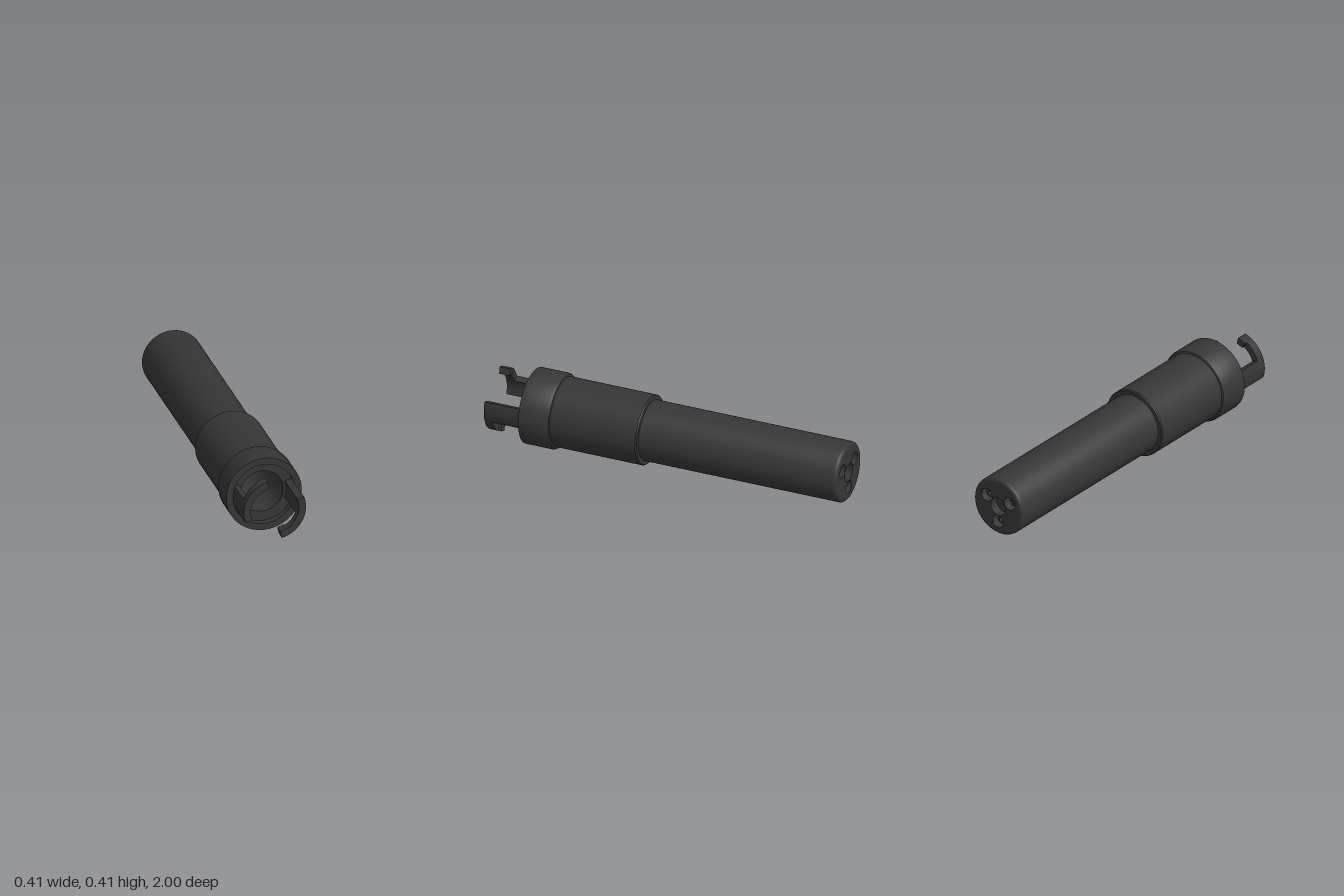
import * as THREE from 'three';
import { toCreasedNormals } from 'three/addons/utils/BufferGeometryUtils.js';

const rad = THREE.MathUtils.degToRad;

export function createModel() {
  const model = new THREE.Group();
  model.position.y = 0.204;
  const black = new THREE.MeshStandardMaterial({ color: 0x363636 });
  black.name = 'matte black';

  function add(name, geometry, parent = model) {
    const mesh = new THREE.Mesh(toCreasedNormals(geometry, rad(35)), black);
    mesh.name = name;
    parent.add(mesh);
    return mesh;
  }
  // Turned part along z: profile of [radius, z], back to front on the outside
  function turned(name, profile) {
    const points = profile.map(([r, z]) => new THREE.Vector2(r, z));
    return add(name, new THREE.LatheGeometry(points, 72).rotateX(Math.PI / 2));
  }
  // Flat shape pushed from z0 to z1
  function slab(name, shape, z0, z1, parent) {
    const g = new THREE.ExtrudeGeometry(shape, { depth: z1 - z0, bevelEnabled: false, curveSegments: 32 });
    return add(name, g.translate(0, 0, z0), parent);
  }
  function disc(r, x = 0, y = 0, Type = THREE.Shape) {
    const s = new Type();
    s.absarc(x, y, r, 0, Math.PI * 2, false);
    return s;
  }
  function arc(inner, outer, fromDeg, toDeg) {
    const s = new THREE.Shape();
    s.absarc(0, 0, outer, rad(fromDeg), rad(toDeg), false);
    s.absarc(0, 0, inner, rad(toDeg), rad(fromDeg), true);
    s.closePath();
    return s;
  }
  // Two narrow radial slots cut at a given angle
  function cutSlots(shape, angle) {
    for (const [r0, r1] of [[0.062, 0.097], [0.107, 0.114]]) {
      const corners = [[r0, -0.0055], [r1, -0.0055], [r1, 0.0055], [r0, 0.0055]];
      shape.holes.push(new THREE.Path(corners.map(([x, y]) =>
        new THREE.Vector2(x, y).rotateAround(new THREE.Vector2(), angle))));
    }
  }

  // Hollow body
  turned('barrel', [[0.14, -1], [0.147, -1], [0.155, -0.997], [0.161, -0.99], [0.163, -0.98],
    [0.163, 0.74], [0.115, 0.74], [0.115, -0.95]]);
  turned('sleeve', [[0.16, 0.125], [0.183, 0.125], [0.188, 0.132], [0.188, 0.63]]);
  turned('collar', [[0.185, 0.618], [0.197, 0.622], [0.204, 0.635], [0.204, 0.79],
    [0.168, 0.79], [0.168, 0.75], [0.115, 0.75], [0.115, 0.735]]);

  // Two bayonet hooks
  for (let i = 0; i < 2; i++) {
    const hook = new THREE.Group();
    hook.name = 'bayonetHook';
    hook.rotation.z = i * Math.PI;
    model.add(hook);
    slab('hookStem', arc(0.13, 0.168, -21, 19), 0.745, 1, hook);
    slab('hookArm', arc(0.13, 0.168, -60, -21), 0.955, 1, hook);
    slab('hookTip', arc(0.13, 0.168, -77, -60), 0.94, 1, hook);
  }

  // Back end with three sockets around a blind centre hole
  const endPlate = disc(0.141);
  const floor = disc(0.141);
  endPlate.holes.push(disc(0.05, 0, 0, THREE.Path));
  for (const deg of [30, 150, 270]) {
    const a = rad(deg);
    endPlate.holes.push(disc(0.036, 0.088 * Math.cos(a), 0.088 * Math.sin(a), THREE.Path));
    cutSlots(floor, a);

    const pocket = disc(0.04, 0.1, 0);
    cutSlots(pocket, 0);
    slab('innerLobe', pocket, -0.932, -0.915).rotation.z = a;

    const collet = slab('socketRing', arc(0.01, 0.02, -150, 150), -0.975, -0.948);
    collet.position.set(0.088 * Math.cos(a), 0.088 * Math.sin(a), 0);
    collet.rotation.z = a;
  }
  slab('endPlate', endPlate, -1, -0.95);
  slab('socketFloor', floor, -0.951, -0.93);
  turned('centreBoss', [[0.053, -0.935], [0.053, -0.885], [0.05, -0.88], [0, -0.88]]);

  const root = new THREE.Group();
  root.name = 'bayonetTube';
  root.add(model);
  return root;
}
